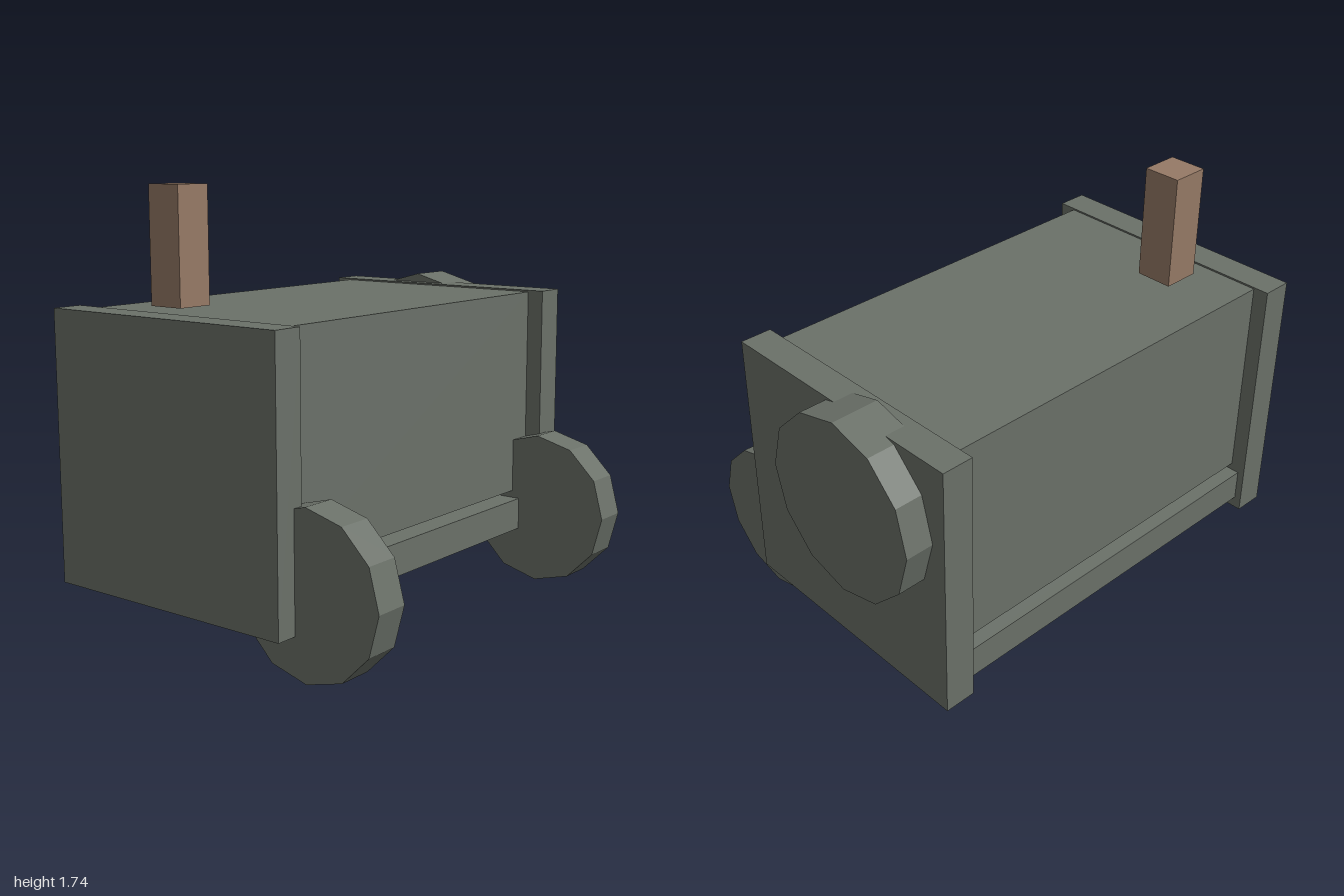
import * as THREE from 'three';

export function createModel() {
  const model = new THREE.Group();
  const iron = new THREE.MeshStandardMaterial({ color: 0x6b7169, flatShading: true });
  iron.name = 'grey iron';
  const wood = new THREE.MeshStandardMaterial({ color: 0x967a66, flatShading: true });
  wood.name = 'brown wood';

  // Box given by its extents along each axis
  function box(name, [x0, x1], [y0, y1], [z0, z1], material = iron) {
    const mesh = new THREE.Mesh(new THREE.BoxGeometry(x1 - x0, y1 - y0, z1 - z0), material);
    mesh.position.set((x0 + x1) / 2, (y0 + y1) / 2, (z0 + z1) / 2);
    mesh.name = name;
    model.add(mesh);
  }

  // Twelve-sided disc with its axle along x and a corner at the top
  function disc(name, [x0, x1], y, z, radius) {
    const geometry = new THREE.CylinderGeometry(radius, radius, x1 - x0, 12);
    geometry.rotateZ(Math.PI / 2);
    const mesh = new THREE.Mesh(geometry, iron);
    mesh.position.set((x0 + x1) / 2, y, z);
    mesh.name = name;
    model.add(mesh);
  }

  // Main block between two end plates
  box('body', [-0.87, 0.75], [0.385, 1.262], [-0.69, 0.313]);
  box('rightEndPlate', [-1, -0.87], [0.167, 1.269], [-0.757, 0.385]);
  box('leftEndPlate', [0.75, 0.883], [0.167, 1.269], [-0.757, 0.385]);

  // Rails under the body, joining the plates
  box('frontRail', [-0.87, 0.75], [0.218, 0.354], [0.211, 0.347]);
  box('backRail', [-0.87, 0.75], [0.218, 0.354], [-0.727, -0.591]);

  // Front wheels and the large disc on the left end
  disc('rightWheel', [-0.912, -0.768], 0.324, 0.436, 0.324);
  disc('leftWheel', [0.648, 0.797], 0.324, 0.436, 0.324);
  disc('sideDisc', [0.797, 1], 0.931, -0.32, 0.376);

  // Upright handle above the top
  box('handle', [-0.77, -0.612], [1.277, 1.744], [-0.456, -0.298], wood);

  return model;
}
